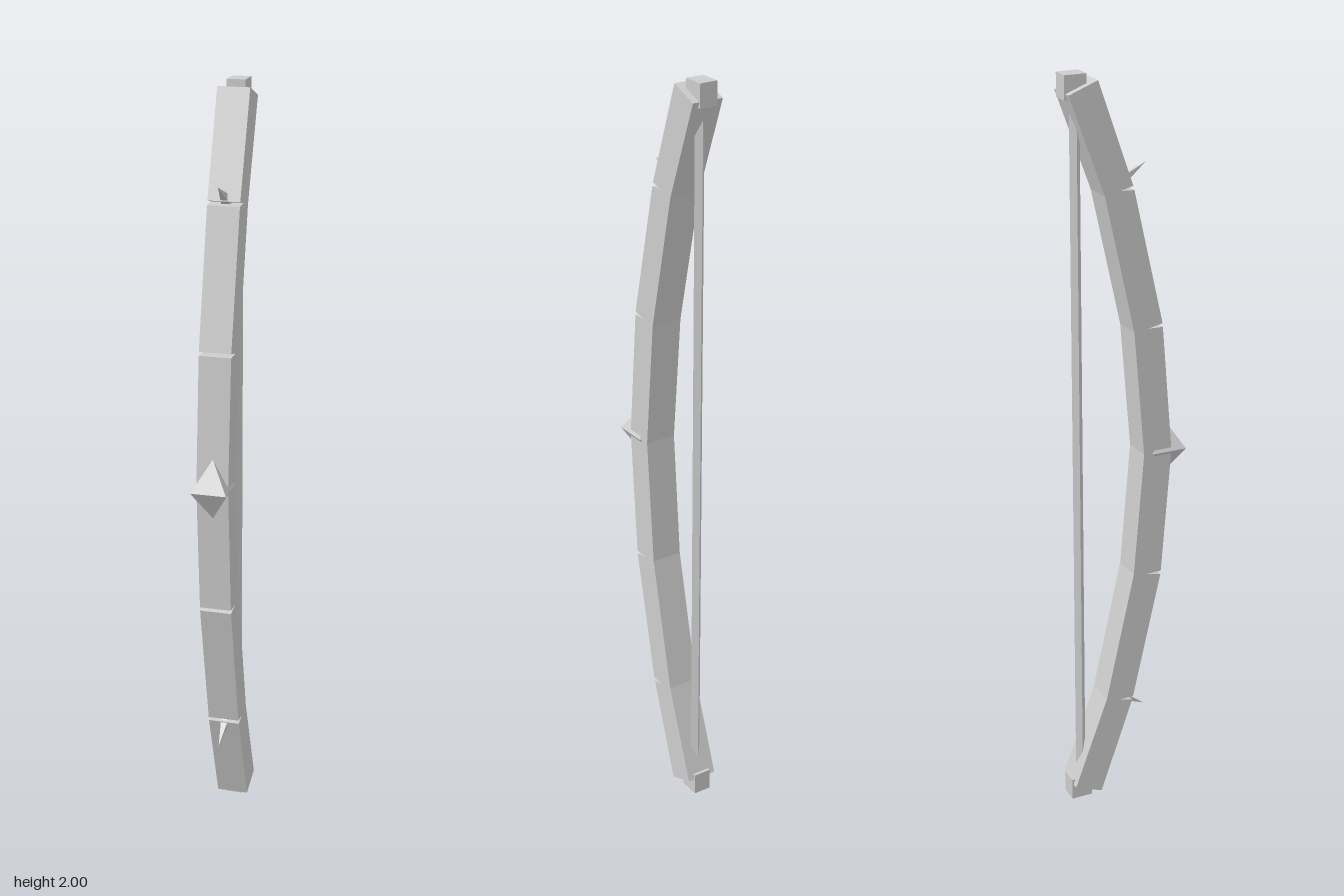
import * as THREE from 'three';

export function createModel() {
  const group = new THREE.Group();
  const grey = new THREE.MeshStandardMaterial({ color: 0xcccccc, flatShading: true });
  grey.name = 'pale grey';

  const add = (name, geometry, x = 0, y = 0, z = 0) => {
    const mesh = new THREE.Mesh(geometry, grey);
    mesh.name = name;
    mesh.position.set(x, y, z);
    group.add(mesh);
    return mesh;
  };

  // Bow stave: side profile as [z, height above the middle], notched at the joints
  const front = [[0.122, 0], [0.094, 0.344], [0.052, 0.345], [0.093, 0.354],
    [0.013, 0.708], [-0.024, 0.71], [0.01, 0.719], [-0.083, 0.985]];
  const back = [[-0.16, 0.955], [-0.066, 0.7], [0.014, 0.34], [0.043, 0]];
  const upper = [...front, ...back];
  const lower = upper.slice(1, -1).reverse().map(([z, y]) => [z, -y]);
  const outline = [...upper, ...lower].map(([z, y]) => new THREE.Vector2(z, y + 1));
  const width = 0.084;
  const stave = new THREE.ExtrudeGeometry(new THREE.Shape(outline), { depth: width, bevelEnabled: false });
  stave.translate(0, 0, -width / 2).rotateY(-Math.PI / 2);
  add('stave', stave);

  // String: thin square bar set on edge
  add('string', new THREE.CylinderGeometry(0.014, 0.014, 1.92, 4), 0, 1, -0.127);

  // Grip gem: two square pyramids joined at the base
  const half = 0.047;
  for (const s of [1, -1]) {
    const pyramid = new THREE.ConeGeometry(half * Math.SQRT2, 0.08, 4, 1, true);
    pyramid.rotateY(Math.PI / 4).translate(0, 0.04, 0);
    if (s < 0) pyramid.rotateX(Math.PI);
    add(s > 0 ? 'gemTop' : 'gemBottom', pyramid, 0, 1, 0.115);
  }

  // Tip blocks and forward thorns, mirrored up and down
  for (const s of [1, -1]) {
    const side = s > 0 ? 'upper' : 'lower';
    add(side + 'TipBlock', new THREE.BoxGeometry(0.048, 0.06, 0.058), 0, 1 + s * 0.97, -0.134);

    const thorn = new THREE.ConeGeometry(0.018, 0.1, 4);
    thorn.rotateY(Math.PI / 4).rotateX(Math.PI / 2); // point along +z
    thorn.translate(0, 0, 0.05);
    const mesh = add(side + 'Thorn', thorn, 0, 1 + s * 0.713, -0.022);
    mesh.rotation.x = -s * 0.54;
  }

  return group;
}
